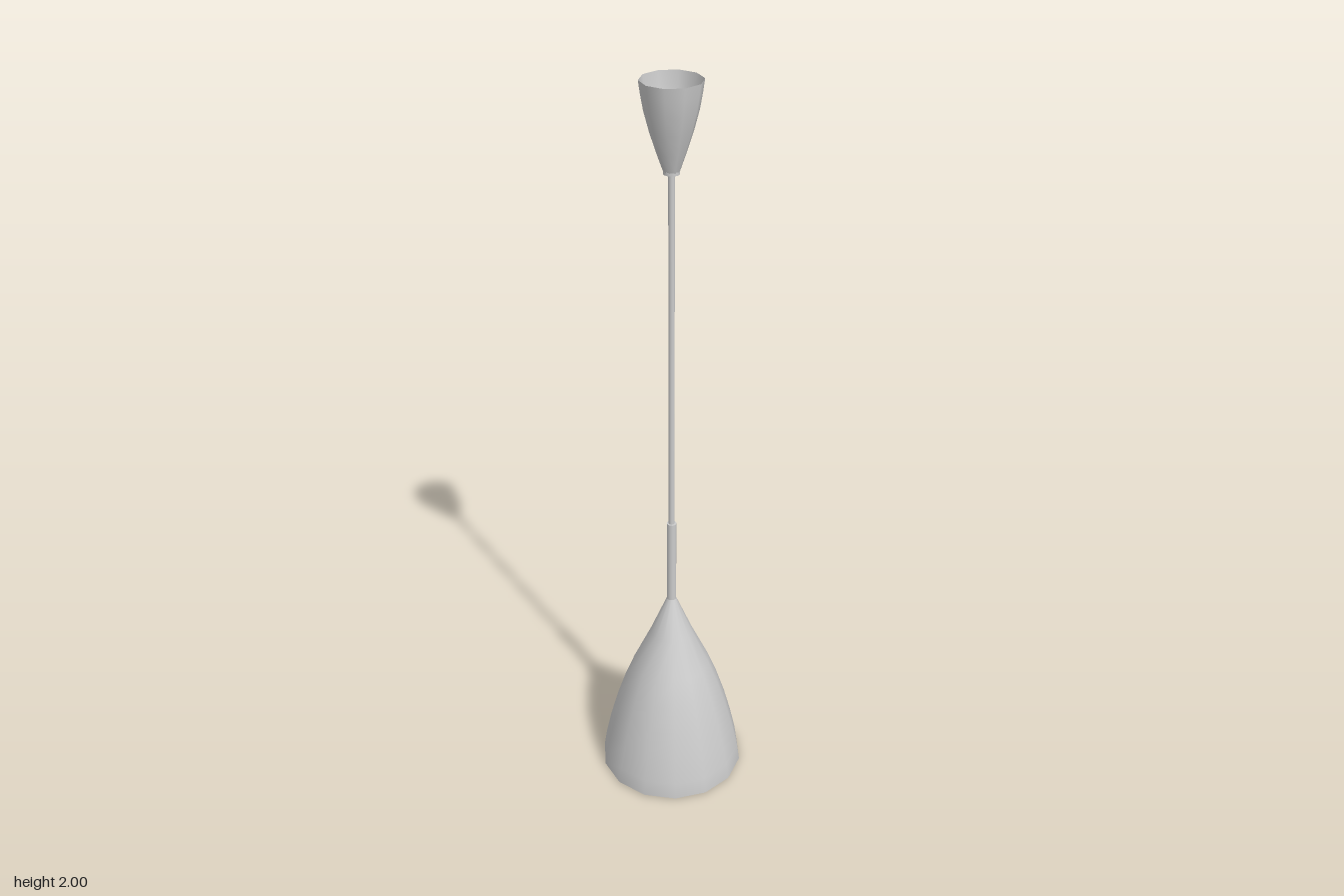
import * as THREE from 'three';

const material = new THREE.MeshStandardMaterial({ color: 0xcccccc, side: THREE.DoubleSide });

// Revolve [radius, height] pairs, with a corner on the +x axis
function turned(name, profile, sides) {
  const points = profile.map(([r, y]) => new THREE.Vector2(r, y));
  const mesh = new THREE.Mesh(new THREE.LatheGeometry(points, sides, Math.PI / 2), material);
  mesh.name = name;
  return mesh;
}

// Upright cylinder between two heights
function rod(name, radius, bottom, top, sides) {
  const geometry = new THREE.CylinderGeometry(radius, radius, top - bottom, sides);
  const mesh = new THREE.Mesh(geometry, material);
  mesh.position.y = (bottom + top) / 2;
  mesh.name = name;
  return mesh;
}

export function createModel() {
  const group = new THREE.Group();
  group.name = 'pendantLamp';

  // Bell shade: thin wall, open below, with the rim folding to the inside
  group.add(turned('shade', [
    [0.194, 0.004], [0.196, 0], [0.2, 0.003], [0.193, 0.05], [0.178, 0.12], [0.157, 0.2],
    [0.133, 0.275], [0.106, 0.345], [0.058, 0.45], [0.013, 0.56],
  ].reverse(), 14));
  group.add(turned('shadeLining', [
    [0.194, 0.004], [0.189, 0.05], [0.174, 0.12], [0.153, 0.2],
    [0.129, 0.275], [0.102, 0.345], [0.054, 0.45], [0.009, 0.56],
  ], 14));

  // Sleeve and suspension rod
  group.add(rod('sleeve', 0.013, 0.55, 0.805, 12));
  group.add(rod('suspensionRod', 0.008, 0.8, 1.785, 10));

  // Ceiling cup, open at the top with a small flat base
  group.add(turned('ceilingCup', [
    [0.018, 1.78], [0.022, 1.79], [0.036, 1.83], [0.052, 1.88], [0.065, 1.93], [0.072, 1.97], [0.076, 2],
  ], 10));
  group.add(rod('cupBase', 0.02, 1.778, 1.786, 14));

  return group;
}
